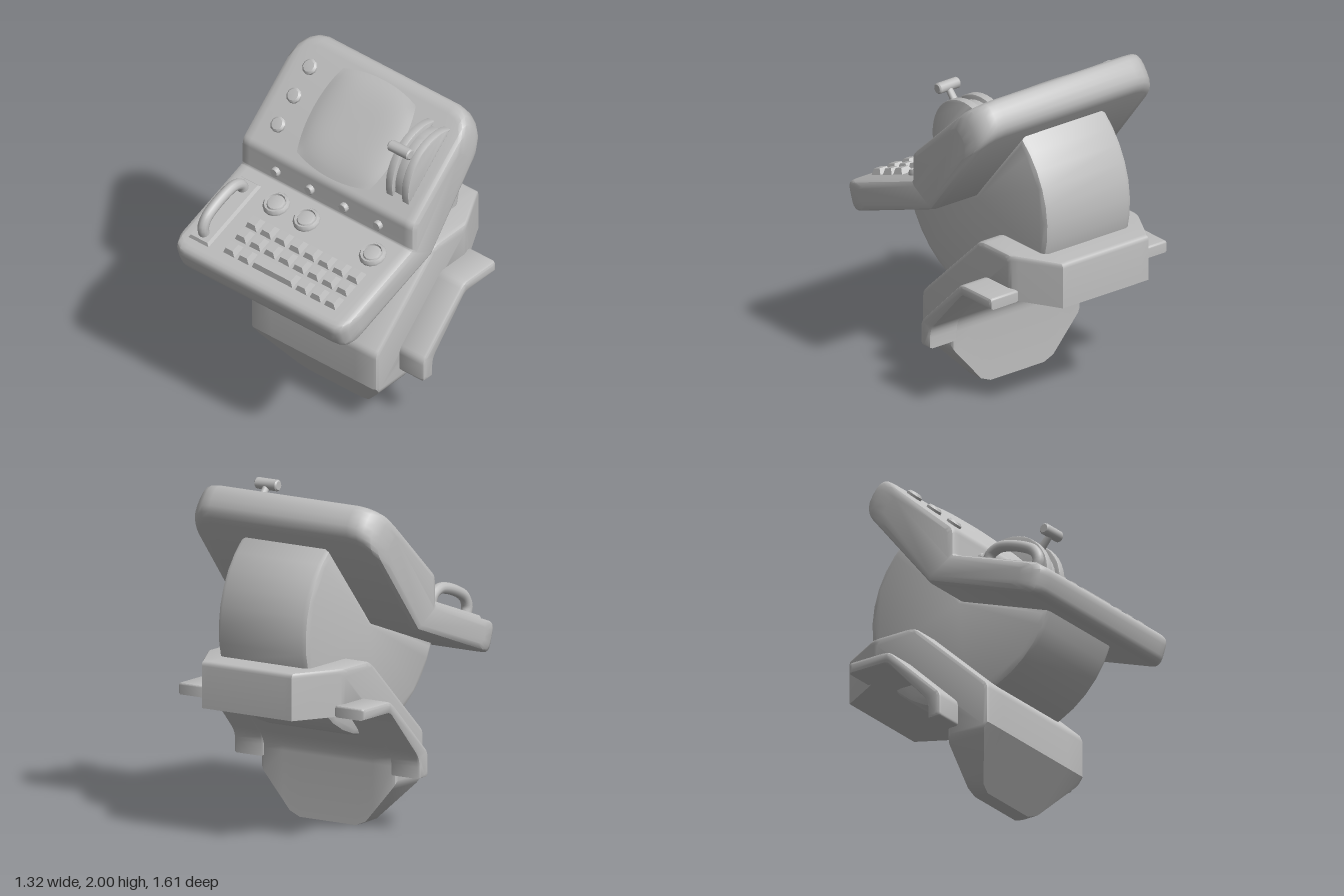
import * as THREE from 'three';
import { toCreasedNormals } from 'three/addons/utils/BufferGeometryUtils.js';

const consoleGrey = new THREE.MeshStandardMaterial({ color: 0xbebebe });
consoleGrey.name = 'consoleGrey';

function add(parent, name, geometry, x = 0, y = 0, z = 0) {
  const m = new THREE.Mesh(geometry, consoleGrey);
  m.name = name;
  m.position.set(x, y, z);
  parent.add(m);
  return m;
}

// Side profile as [z, y, cornerRadius], counter-clockwise; shrunk by inset, then filleted
function ring(pts, inset = 0) {
  const n = pts.length;
  const dir = (a, b) => new THREE.Vector2(b[0] - a[0], b[1] - a[1]).normalize();
  const moved = pts.map((p, i) => {
    const d0 = dir(pts[(i + n - 1) % n], p), d1 = dir(p, pts[(i + 1) % n]);
    const k = inset / (1 + d0.dot(d1));
    return new THREE.Vector2(p[0] - (d0.y + d1.y) * k, p[1] + (d0.x + d1.x) * k);
  });
  const out = [];
  moved.forEach((p, i) => {
    const r = pts[i][2] || 0;
    if (!r) return out.push(p);
    const toward = (q) => p.clone().lerp(q, Math.min(r / p.distanceTo(q), 0.48));
    const curve = new THREE.QuadraticBezierCurve(toward(moved[(i + n - 1) % n]), p, toward(moved[(i + 1) % n]));
    out.push(...curve.getPoints(4));
  });
  return out;
}

// Joins rings placed at rising x and caps both ends
function loft(stations, crease = 0.6) {
  const pos = [];
  const put = (s, i) => pos.push(s.x, s.ring[i].y, s.ring[i].x);
  for (let k = 0; k + 1 < stations.length; k++) {
    const a = stations[k], b = stations[k + 1], n = a.ring.length;
    for (let i = 0; i < n; i++) {
      const j = (i + 1) % n;
      put(a, i); put(b, i); put(b, j);
      put(a, i); put(b, j); put(a, j);
    }
  }
  const first = stations[0], last = stations[stations.length - 1];
  for (const t of THREE.ShapeUtils.triangulateShape(first.ring, [])) t.forEach((i) => put(first, i));
  for (const t of THREE.ShapeUtils.triangulateShape(last.ring, [])) [t[2], t[1], t[0]].forEach((i) => put(last, i));
  const g = new THREE.BufferGeometry();
  g.setAttribute('position', new THREE.Float32BufferAttribute(pos, 3));
  return toCreasedNormals(g, crease);
}

// Symmetric stations: list of half widths from outside to inside
const mirrored = (widths, ringAt) => [
  ...widths.map((a) => ({ x: -a, ring: ringAt(a) })),
  ...widths.map((a) => ({ x: a, ring: ringAt(a) })).reverse(),
];

// Constant profile from x0 to x1 with bevelled ends
const slab = (pts, x0, x1, b) => loft([
  { x: x0, ring: ring(pts, b) }, { x: x0 + b * 0.3, ring: ring(pts, b * 0.3) }, { x: x0 + b, ring: ring(pts) },
  { x: x1 - b, ring: ring(pts) }, { x: x1 - b * 0.3, ring: ring(pts, b * 0.3) }, { x: x1, ring: ring(pts, b) },
]);

// Block whose top is smaller than its bottom, standing on y = 0
function taperedBlock(w, h, d, bevel) {
  const g = new THREE.BoxGeometry(w, h, d).translate(0, h / 2, 0);
  const p = g.attributes.position;
  for (let i = 0; i < p.count; i++) {
    if (p.getY(i) > h / 2) {
      p.setX(i, p.getX(i) - Math.sign(p.getX(i)) * bevel);
      p.setZ(i, p.getZ(i) - Math.sign(p.getZ(i)) * bevel);
    }
  }
  return toCreasedNormals(g, 0.3);
}

const lathe = (pts, sides) => toCreasedNormals(
  new THREE.LatheGeometry(pts.map((p) => new THREE.Vector2(p[0], p[1])), sides), 0.7);

// Circle segment standing on y = 0, for the lever housing
function arch(half, height) {
  const R = (half * half + height * height) / (2 * height), a0 = Math.asin((height - R) / -R);
  const pts = [];
  for (let i = 0; i <= 14; i++) {
    const a = a0 + (Math.PI - 2 * a0) * i / 14;
    pts.push([R * Math.cos(a), height - R + R * Math.sin(a)]);
  }
  return pts;
}

export function createModel() {
  const model = new THREE.Group();
  model.name = 'controlConsole';

  // Bent console housing with rounded ends
  const corner = (R, d) => (d >= R ? 0 : R - Math.sqrt(R * R - (R - d) ** 2));
  const housing = mirrored([0.66, 0.648, 0.625, 0.59, 0.55, 0.49], (a) => {
    const d = 0.66 - a, t = 1.2 * corner(0.17, d), b = corner(0.1, d);
    return ring([
      [0, 1.21],
      [0.76 - 0.94 * b, 0.935 + 0.34 * b, 0.06], [0.82 - 0.94 * b, 1.11 + 0.34 * b, 0.06],
      [0.18, 1.34, 0.012], [0.18, 1.51, 0.03],
      [-0.395 + 0.742 * t, 2.03 - 0.671 * t, 0.09], [-0.52 + 0.63 * t, 1.86 - 0.78 * t, 0.09],
    ], d < 0.005 ? 0.035 : d < 0.02 ? 0.01 : 0);
  });
  add(model, 'consoleHousing', loft(housing));

  // Round drum below the console
  const drum = [[0, 1.23]];
  for (let i = 0; i <= 22; i++) {
    const a = -2 * Math.PI + THREE.MathUtils.degToRad(129 + i * (212 / 22));
    drum.push([0.655 * Math.cos(a), 1.21 + 0.655 * Math.sin(a)]);
  }
  add(model, 'drum', slab(drum, -0.32, 0.32, 0.035));

  // Base cradle with tapered foot and chamfered rear band
  const cradle = mirrored([0.48, 0.473, 0.455, 0.32, 0.27, 0.2], (a) => {
    const rear = -0.8 + 0.29 * Math.max(0, (a - 0.32) / 0.16);
    const foot = a > 0.25 ? 0.03 + 0.24 * (a - 0.27) / 0.21 : 0;
    return ring([
      [0.01, foot], [0.1 + foot * 0.66, foot], [0.3, 0.3], [0.3, 0.55, 0.03], [-0.23, 1.05, 0.05],
      [rear, 1.05, 0.03], [rear, 0.77], [-0.28, 0.77, 0.03], [0.01, 0.44, 0.06],
    ], a > 0.475 ? 0.022 : a > 0.47 ? 0.007 : 0);
  });
  add(model, 'baseCradle', loft(cradle, 0.5));

  // Side steps
  const step = [
    [0, 0.33], [0.09, 0.33, 0.02], [0.09, 0.48, 0.03], [-0.28, 0.84, 0.04],
    [-0.56, 0.84, 0.015], [-0.56, 0.77], [-0.29, 0.77, 0.03], [0, 0.45, 0.05],
  ];
  add(model, 'leftStep', slab(step, 0.45, 0.662, 0.018));
  add(model, 'rightStep', slab(step, -0.662, -0.45, 0.018));

  // Indicator lamps on the upright strip
  for (let i = 0; i < 4; i++) {
    const lamp = add(model, 'indicatorLamp', lathe([[0.03, -0.01], [0.03, 0.02], [0.024, 0.028], [0, 0.028]], 12),
      -0.38 + i * 0.26, 1.41, 0.18);
    lamp.rotation.x = Math.PI / 2;
  }

  // Upper panel: local y is its normal, -z runs up the panel
  const upper = new THREE.Group();
  upper.name = 'upperPanel';
  upper.position.set(0, 1.51, 0.18);
  upper.rotation.x = 0.735;
  model.add(upper);

  // Bulging screen
  const screen = new THREE.PlaneGeometry(2, 2, 20, 20).rotateX(-Math.PI / 2);
  const sp = screen.attributes.position;
  for (let i = 0; i < sp.count; i++) {
    const u = sp.getX(i), v = sp.getZ(i);
    sp.setXYZ(i, 0.325 * u * Math.sqrt(1 - 0.27 * v * v), 0.002 + 0.03 * (1 - u ** 4) * (1 - v ** 4),
      0.325 * v * Math.sqrt(1 - 0.27 * u * u));
  }
  screen.computeVertexNormals();
  add(upper, 'screen', screen, 0, 0, -0.36);

  for (const s of [0.555, 0.365, 0.173]) {
    add(upper, 'roundButton', lathe([[0.048, -0.01], [0.048, 0.015], [0.036, 0.027], [0, 0.03]], 10), -0.474, 0, -s);
  }

  // Throttle lever in a slotted arch
  const lever = new THREE.Group();
  lever.name = 'throttle';
  lever.position.set(0.472, 0, -0.36);
  upper.add(lever);
  add(lever, 'leftCheek', slab(arch(0.25, 0.147), 0.035, 0.087, 0.006));
  add(lever, 'rightCheek', slab(arch(0.25, 0.147), -0.087, -0.035, 0.006));
  add(lever, 'slotFloor', slab(arch(0.22, 0.115), -0.04, 0.04, 0.002));
  add(lever, 'leverStem', new THREE.CylinderGeometry(0.02, 0.026, 0.16, 12), 0, 0.16, 0);
  const grip = add(lever, 'leverGrip',
    lathe([[0, -0.078], [0.026, -0.078], [0.034, -0.07], [0.034, 0.07], [0.026, 0.078], [0, 0.078]], 12), 0, 0.238, 0);
  grip.rotation.z = Math.PI / 2;

  // Lower panel: +z runs down the slope towards the operator
  const lower = new THREE.Group();
  lower.name = 'lowerPanel';
  lower.position.set(0, 1.34, 0.18);
  lower.rotation.x = 0.345;
  model.add(lower);

  // Dials with raised rims
  for (const x of [-0.27, -0.04, 0.465]) {
    add(lower, 'dial', lathe([
      [0.082, -0.01], [0.082, 0.012], [0.07, 0.03], [0.06, 0.03], [0.056, 0.018], [0.05, 0.028], [0.044, 0.03], [0, 0.03],
    ], 14), x, 0, 0.138);
  }

  // Keyboard with a wide bar in the last row
  [0.31, 0.41, 0.52].forEach((z, row) => {
    for (let c = 0; c < 8; c++) {
      if (row === 2 && c > 1 && c < 5) continue;
      add(lower, 'key', taperedBlock(0.085, 0.035, 0.087, 0.016), -0.293 + c * 0.11, 0, z);
    }
  });
  add(lower, 'wideKey', taperedBlock(0.31, 0.035, 0.087, 0.016), 0.037, 0, 0.52);

  // Grab handle on its plate
  add(lower, 'handlePlate', taperedBlock(0.152, 0.02, 0.5, 0.012), -0.51, 0, 0.33);
  const path = new THREE.CatmullRomCurve3([
    [0, 0.15], [0.06, 0.155], [0.105, 0.2], [0.122, 0.27], [0.122, 0.4], [0.105, 0.47], [0.06, 0.515], [0, 0.52],
  ].map(([y, z]) => new THREE.Vector3(0, y, z)));
  add(lower, 'grabHandle', new THREE.TubeGeometry(path, 28, 0.034, 12), -0.51, 0, 0);

  return model;
}
